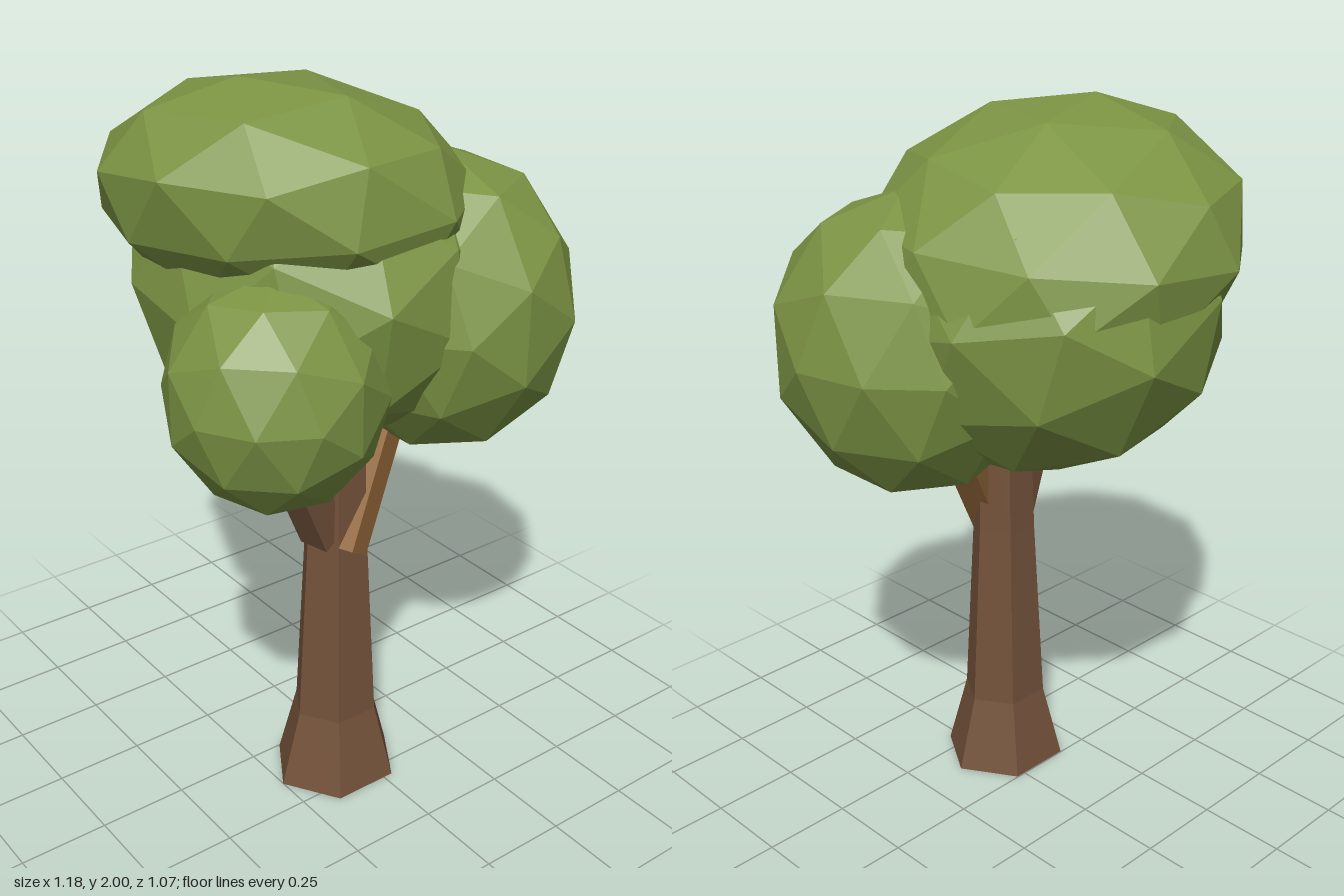
import * as THREE from 'three';

function material(name, color) {
  const m = new THREE.MeshStandardMaterial({ color, flatShading: true });
  m.name = name;
  return m;
}

export function createModel() {
  const tree = new THREE.Group();
  tree.name = 'tree';
  const leafGreen = material('leafGreen', 0x7c9444);
  const barkBrown = material('barkBrown', 0x73523a);
  const branchTan = material('branchTan', 0x93673a);

  const add = (name, geometry, mat) => {
    const mesh = new THREE.Mesh(geometry, mat);
    mesh.name = name;
    tree.add(mesh);
    return mesh;
  };

  // Six-sided trunk with a flared foot; corners point along x
  const profile = [[0, 0], [0.186, 0], [0.126, 0.22], [0.095, 0.77], [0.08, 1.25], [0, 1.25]]
    .map(([r, y]) => new THREE.Vector2(r, y));
  const trunkShape = new THREE.LatheGeometry(profile, 6).rotateY(Math.PI / 6).scale(1, 1, 0.93);
  add('trunk', trunkShape, barkBrown).position.set(-0.065, 0, 0.152);

  // Square branches leaning out of the trunk into the crown
  const branch = (name, from, to, width, mat) => {
    const a = new THREE.Vector3(...from), b = new THREE.Vector3(...to);
    const mesh = add(name, new THREE.BoxGeometry(width, width, a.distanceTo(b)), mat);
    mesh.position.copy(a).add(b).multiplyScalar(0.5);
    mesh.lookAt(b);
  };
  branch('leftBranch', [-0.08, 0.75, 0.215], [0.16, 1.16, 0.12], 0.085, branchTan);
  branch('rightBranch', [-0.12, 0.79, 0.17], [-0.29, 1.16, 0.21], 0.09, barkBrown);

  // Faceted leaf clumps: centre, radii, tilt
  const clumps = [
    ['topLeaves', [-0.06, 1.665, -0.055], [0.505, 0.315, 0.5], [-0.14, 0, -0.27]],
    ['middleLeaves', [-0.025, 1.475, -0.03], [0.465, 0.445, 0.52], [0.2, 0, 0.03]],
    ['leftLeaves', [0.245, 1.388, 0.18], [0.345, 0.41, 0.38], [0, 0.2, 0]],
    ['rightLeaves', [-0.315, 1.292, 0.235], [0.285, 0.31, 0.285], [0, 0.5, 0]],
  ];
  for (const [name, centre, radii, tilt] of clumps) {
    const ball = new THREE.IcosahedronGeometry(1, 1).rotateY(0.3).scale(...radii);
    const mesh = add(name, ball, leafGreen);
    mesh.position.set(...centre);
    mesh.rotation.set(...tilt);
  }
  return tree;
}
